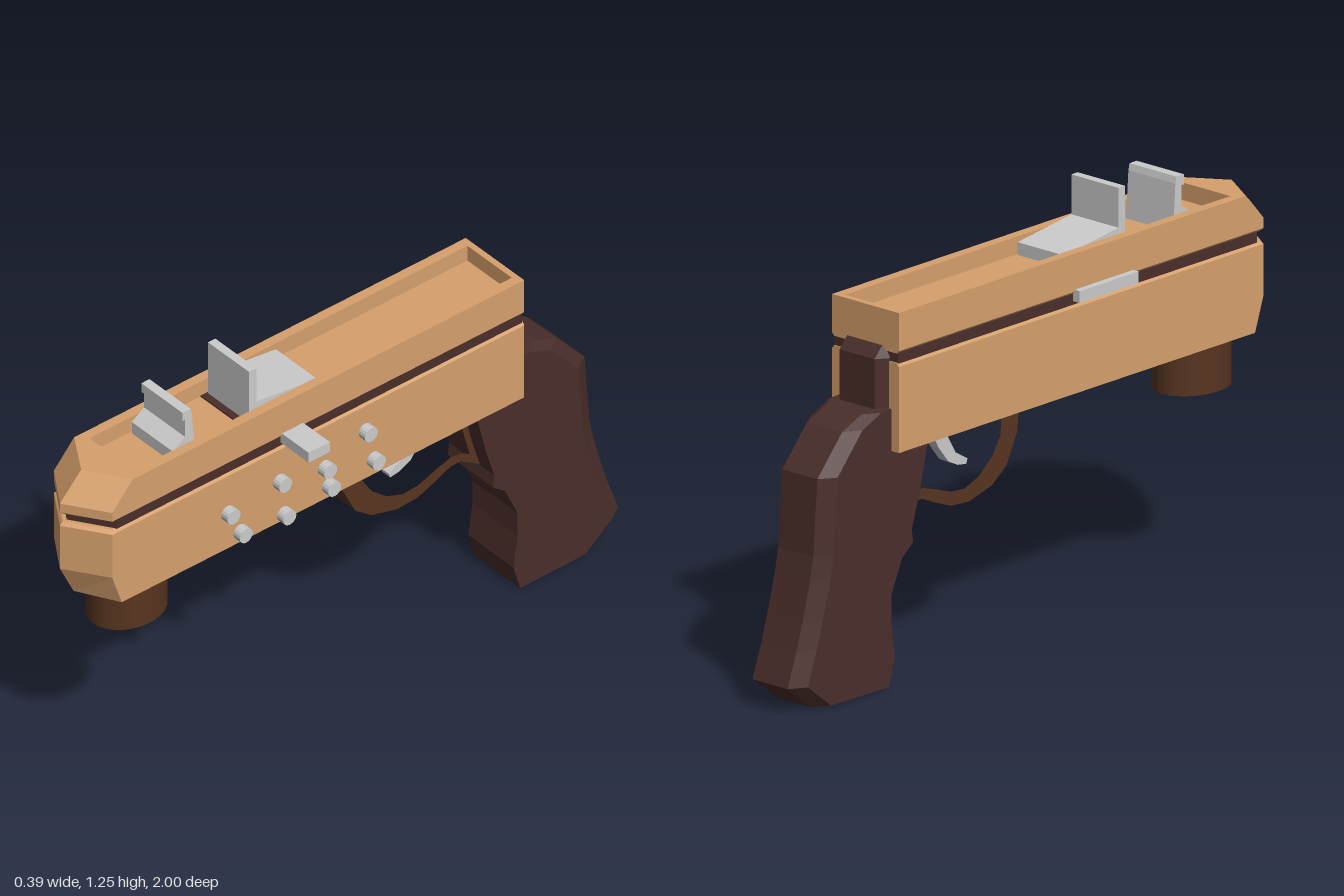
import * as THREE from 'three';

const CX = -0.05; // centre plane of the body
const mat = (color) => new THREE.MeshStandardMaterial({ color, flatShading: true });
const tan = mat(0xd6a06c), dark = mat(0x4a2e2a), brown = mat(0x57341f), grey = mat(0xcccccc);

export function createModel() {
  const group = new THREE.Group();

  function add(name, geometry, material, x = 0, y = 0, z = 0) {
    const mesh = new THREE.Mesh(geometry, material);
    mesh.name = name;
    mesh.position.set(x, y, z);
    group.add(mesh);
    return mesh;
  }

  // Skin over rings listed from bottom to top, each counter-clockwise from above
  function loft(rings) {
    const n = rings[0].length, index = [];
    for (let r = 0; r < rings.length - 1; r++) {
      for (let j = 0; j < n; j++) {
        const a = r * n + j, b = r * n + (j + 1) % n;
        index.push(a, b, b + n, a, b + n, a + n);
      }
    }
    const top = (rings.length - 1) * n;
    for (let j = 1; j < n - 1; j++) {
      index.push(0, j + 1, j, top, top + j, top + j + 1);
    }
    const geometry = new THREE.BufferGeometry();
    geometry.setAttribute('position', new THREE.Float32BufferAttribute(rings.flat(2), 3));
    geometry.setIndex(index);
    const flat = geometry.toNonIndexed();
    flat.computeVertexNormals();
    return flat;
  }

  // Plan outline with a pointed front
  const pointed = (y, side, tip, w = 0.128, back = -0.6) => [
    [-w, y, back], [-w, y, side], [0, y, tip], [w, y, side], [w, y, back],
  ];

  // Side profile of (z, y) points extruded across x
  function profile(points, width, hole) {
    const toVectors = (list) => list.map(([z, y]) => new THREE.Vector2(z, y));
    const shape = new THREE.Shape(toVectors(points));
    if (hole) shape.holes.push(new THREE.Path(toVectors(hole)));
    const geometry = new THREE.ExtrudeGeometry(shape, { depth: width, bevelEnabled: false });
    return geometry.translate(0, 0, -width / 2).rotateY(-Math.PI / 2);
  }

  // Body: lower frame, dark seam and hollow-topped slide
  add('lowerFrame', loft([
    pointed(0.697, 0.88, 0.95),
    pointed(0.8, 0.915, 1.0),
    pointed(0.952, 0.915, 1.0),
    pointed(0.962, 0.905, 0.99, 0.12),
  ]), tan, CX);
  add('seam', loft([
    pointed(0.95, 0.895, 0.975, 0.122, -0.597),
    pointed(1.01, 0.895, 0.975, 0.122, -0.597),
  ]), dark, CX);
  add('slide', loft([
    pointed(0.99, 0.905, 0.99, 0.12),
    pointed(0.999, 0.915, 1.0),
    pointed(1.03, 0.915, 1.0),
    pointed(1.112, 0.84, 0.922),
    pointed(1.112, 0.81, 0.811, 0.097, -0.58),
    pointed(1.06, 0.81, 0.811, 0.097, -0.58),
  ]), tan, CX);

  // Grip rows: front z, front y, back z, back y
  const gripRows = [
    [-0.61, 0, -0.9, 0.003],
    [-0.585, 0.085, -0.997, 0.08],
    [-0.6, 0.19, -0.96, 0.18],
    [-0.6, 0.27, -0.935, 0.26],
    [-0.555, 0.37, -0.905, 0.37],
    [-0.51, 0.405, -0.89, 0.445],
    [-0.515, 0.445, -0.883, 0.54],
    [-0.485, 0.54, -0.873, 0.672],
    [-0.445, 0.7, -0.77, 0.787],
    [-0.445, 0.78, -0.69, 0.82],
    [-0.445, 0.821, -0.635, 0.822],
    [-0.445, 0.97, -0.635, 0.97],
    [-0.445, 1.0, -0.605, 1.003],
  ];
  add('grip', loft(gripRows.map(([zf, yf, zb, yb]) => [
    [-0.067, yb, zb], [-0.099, yb, zb + 0.05], [-0.099, yf, zf],
    [0.099, yf, zf], [0.099, yb, zb + 0.05], [0.067, yb, zb],
  ])), dark, CX);

  // Trigger guard and trigger
  add('triggerGuard', profile([
    [0, 0.705], [-0.01, 0.6], [-0.055, 0.51], [-0.115, 0.465], [-0.21, 0.44], [-0.285, 0.445],
    [-0.35, 0.47], [-0.405, 0.495], [-0.445, 0.495], [-0.53, 0.44], [-0.5, 0.6], [-0.47, 0.705],
  ], 0.075, [
    [-0.075, 0.675], [-0.08, 0.605], [-0.115, 0.55], [-0.17, 0.505], [-0.23, 0.483], [-0.285, 0.487],
    [-0.35, 0.51], [-0.405, 0.527], [-0.445, 0.522], [-0.475, 0.505], [-0.43, 0.675],
  ]), brown, CX);
  add('trigger', profile([
    [-0.29, 0.69], [-0.275, 0.64], [-0.245, 0.59], [-0.195, 0.56], [-0.2, 0.545],
    [-0.235, 0.55], [-0.275, 0.57], [-0.315, 0.62], [-0.355, 0.69],
  ], 0.035), grey, CX);

  // Oval post under the front end
  const post = new THREE.CylinderGeometry(1, 1, 0.16, 32);
  post.scale(0.102, 1, 0.125);
  const smoothBrown = brown.clone();
  smoothBrown.flatShading = false;
  add('frontPost', post, smoothBrown, CX, 0.628, 0.755);

  // Sights standing in the hollow top
  add('frontSight', profile([
    [0.58, 1.055], [0.66, 1.055], [0.66, 1.1], [0.615, 1.13], [0.615, 1.19],
    [0.625, 1.19], [0.625, 1.22], [0.595, 1.22], [0.59, 1.2],
  ], 0.18), grey, CX);
  add('rearSight', profile([
    [0.13, 1.055], [0.38, 1.055], [0.38, 1.245], [0.353, 1.245], [0.353, 1.127], [0.13, 1.098],
  ], 0.18), grey, CX);
  add('sightSlot', new THREE.BoxGeometry(0.19, 0.01, 0.025), dark, CX, 1.06, 0.39);

  // Side levers in the seam
  add('leftLever', new THREE.BoxGeometry(0.14, 0.035, 0.078), grey, 0.125, 0.988, 0.252);
  add('rightLever', new THREE.BoxGeometry(0.06, 0.035, 0.245), grey, -0.168, 0.988, 0.252);

  // Row of small round studs on the left, as (z, y)
  const studs = [
    [0.545, 0.888], [0.5, 0.8], [0.355, 0.907], [0.34, 0.785],
    [0.19, 0.875], [0.175, 0.805], [0.04, 0.932], [0.01, 0.817],
  ];
  const stud = new THREE.CylinderGeometry(0.024, 0.024, 0.028, 16).rotateZ(Math.PI / 2);
  for (const [z, y] of studs) add('stud', stud, grey, 0.157, y, z);

  return group;
}
